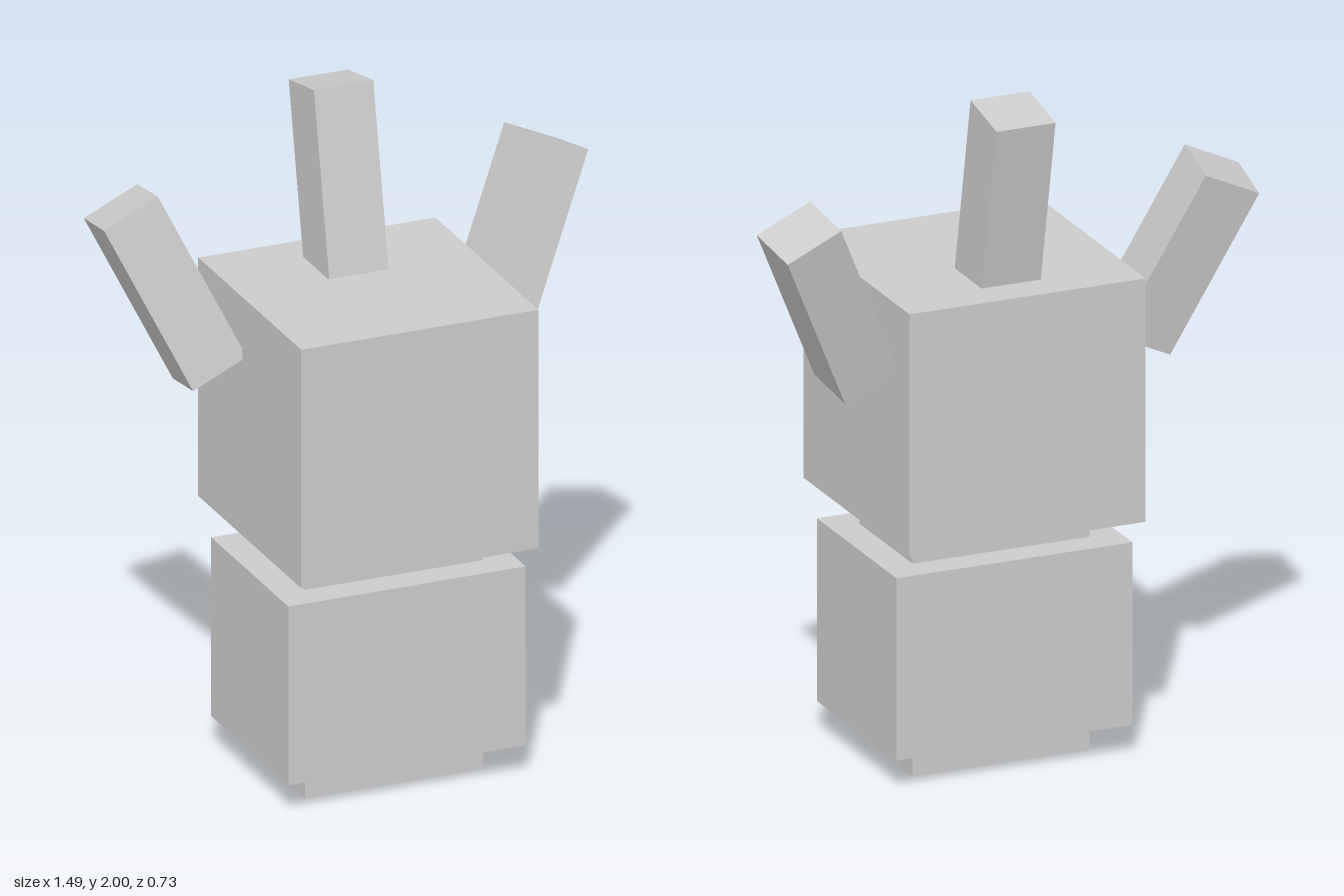
import * as THREE from 'three';

const U = 0.0913; // block unit
const material = new THREE.MeshStandardMaterial({ color: 0xcccccc, flatShading: true });

// Box sized in block units, centred at a position
function block(name, w, h, d, x, y, z) {
  const mesh = new THREE.Mesh(new THREE.BoxGeometry(w * U, h * U, d * U), material);
  mesh.name = name;
  mesh.position.set(x, y, z);
  return mesh;
}

export function createModel() {
  const model = new THREE.Group();
  model.name = 'blockFigure';

  // Stacked trunk: [name, width, height, depth], bottom to top
  let y = 0;
  for (const [name, w, h, d] of [
    ['foot', 6, 1, 4],
    ['body', 8, 6, 6],
    ['neck', 6, 1, 4],
    ['head', 8, 8, 8],
  ]) {
    model.add(block(name, w, h, d, 0, (y + h / 2) * U, 0));
    y += h;
  }

  // Crest on top, leaning back
  const crest = block('crest', 2, 6, 2, 0, 1.714, -0.211);
  crest.rotation.x = -0.2;
  model.add(crest);

  // Side horns, leaning back and outward
  for (const [name, s] of [['leftHorn', 1], ['rightHorn', -1]]) {
    const horn = block(name, 2, 6, 2, s * 0.541, 1.465, -0.193);
    horn.rotation.set(-0.2, 0, -s * 0.436, 'ZYX');
    model.add(horn);
  }
  return model;
}
